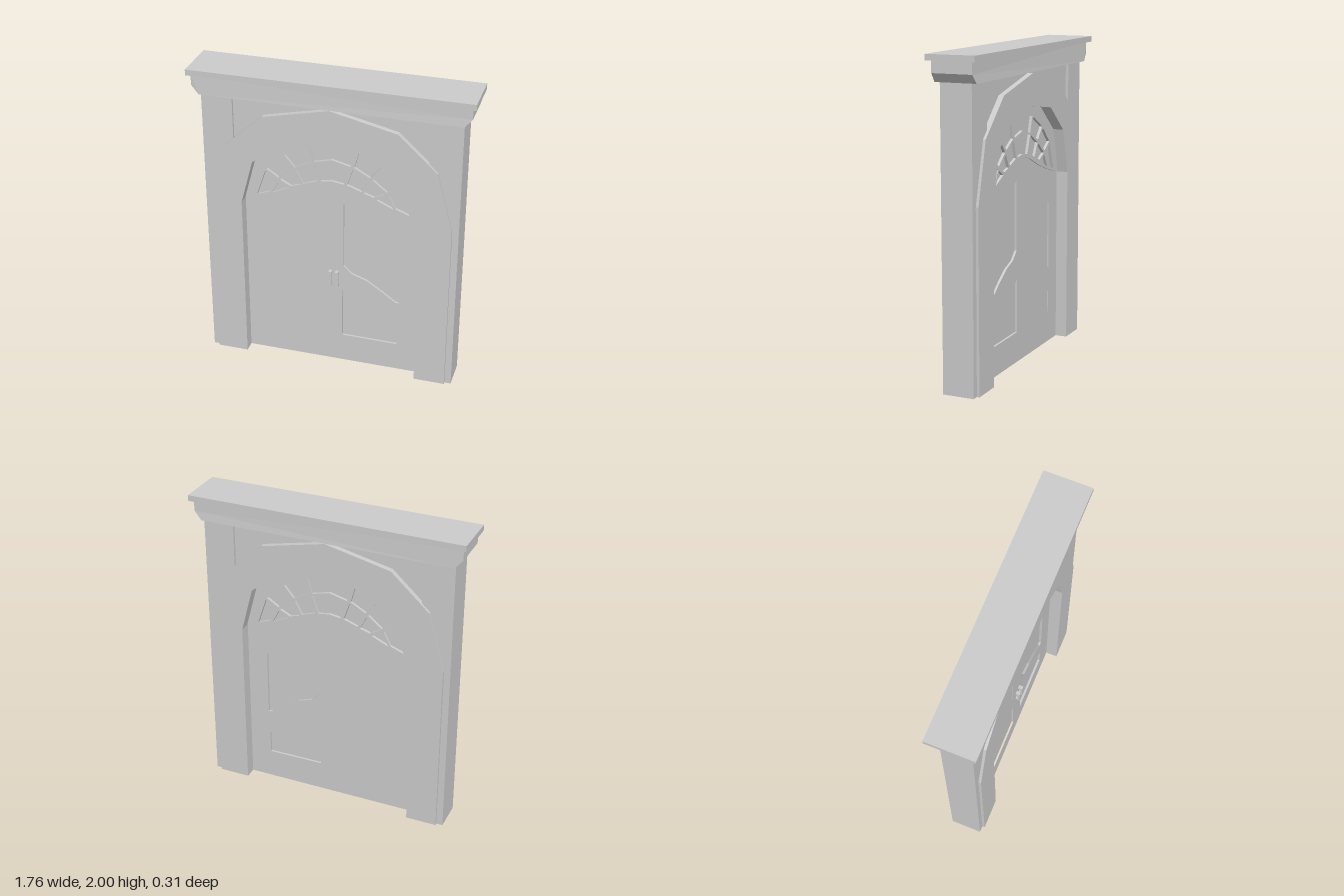
import * as THREE from 'three';

const mat = new THREE.MeshStandardMaterial({ color: 0xcccccc, flatShading: true });
const mirror = (pts) => pts.map(([x, y]) => [-x, y]);
// full symmetric line from a right half that runs from the side to the centre
const bothSides = (half) => [...half, ...mirror(half.slice(0, -1)).reverse()];
const toVecs = (pts) => pts.map(([x, y]) => new THREE.Vector2(x, y));

// prism of an x-y outline, centred on z = 0
function slab(name, outline, halfDepth, holes = []) {
  const shape = new THREE.Shape(toVecs(outline));
  holes.forEach((h) => shape.holes.push(new THREE.Path(toVecs(h))));
  const geo = new THREE.ExtrudeGeometry(shape, { depth: 2 * halfDepth, bevelEnabled: false });
  geo.translate(0, 0, -halfDepth);
  const mesh = new THREE.Mesh(geo, mat);
  mesh.name = name;
  return mesh;
}

function box(name, x0, x1, y0, y1, z0, z1) {
  const mesh = new THREE.Mesh(new THREE.BoxGeometry(x1 - x0, y1 - y0, z1 - z0), mat);
  mesh.position.set((x0 + x1) / 2, (y0 + y1) / 2, (z0 + z1) / 2);
  mesh.name = name;
  return mesh;
}

// pulls the corners of a pane inward to leave room for the glazing bars
function shrink(pts, d) {
  const cx = pts.reduce((s, p) => s + p[0], 0) / pts.length;
  const cy = pts.reduce((s, p) => s + p[1], 0) / pts.length;
  return pts.map(([x, y]) => {
    const l = Math.hypot(cx - x, cy - y);
    return [x + ((cx - x) / l) * d, y + ((cy - y) / l) * d];
  });
}

export function createModel() {
  const model = new THREE.Group();

  // arched surround
  const outerArch = [[0.767, 1.13], [0.667, 1.508], [0.42, 1.733], [0, 1.828]];
  const innerArch = [[0.568, 1.127], [0.49, 1.418], [0.28, 1.587], [0, 1.625]];
  model.add(slab('archSurround', [
    [0.767, 0], ...bothSides(outerArch), [-0.767, 0],
    [-0.568, 0], ...bothSides(innerArch).reverse(), [0.568, 0],
  ], 0.117));

  // side columns and the recessed wall above the arch
  for (const s of [-1, 1]) {
    model.add(box('column', s * 0.71 - 0.098, s * 0.71 + 0.098, 0, 1.84, -0.1, 0.1));
  }
  model.add(slab('spandrelWall', [
    [0.612, 1.84], ...bothSides([[0.612, 1.3], [0.58, 1.45], [0.35, 1.66], [0, 1.72]]), [-0.612, 1.84],
  ], 0.082));

  // cornice with flared ends, slightly deeper at its foot
  const cornice = slab('cornice', [
    [-0.81, 1.838], [0.81, 1.838], [0.857, 1.892], [0.857, 1.965], [-0.857, 1.965], [-0.857, 1.892],
  ], 0.127);
  const p = cornice.geometry.attributes.position;
  for (let i = 0; i < p.count; i++) if (p.getY(i) < 1.85) p.setZ(i, p.getZ(i) * 1.04);
  cornice.geometry.computeVertexNormals();
  model.add(cornice, box('corniceTop', -0.88, 0.88, 1.963, 2, -0.155, 0.155));

  // fan window: rings of nodes from the side to the centre
  const sill = [[0.568, 1.127], [0.5, 1.14], [0.38, 1.175], [0.254, 1.217], [0.11, 1.28], [0.05, 1.294], [0, 1.297]];
  const rings = [
    [[0.497, 1.15], [0.433, 1.345], [0.317, 1.46], [0.16, 1.548], [0, 1.575]],
    [[0.398, 1.18], [0.347, 1.285], [0.243, 1.37], [0.127, 1.435], [0, 1.458]],
    [[0.31, 1.21], [0.268, 1.238], [0.19, 1.267], [0.083, 1.305], [0, 1.312]],
  ];
  const panes = [];
  for (let r = 0; r < 2; r++) {
    const [a, b] = [rings[r], rings[r + 1]];
    for (let k = 0; k < 3; k++) {
      const pane = shrink([a[k], a[k + 1], b[k + 1], b[k]], 0.013);
      panes.push(pane, mirror(pane));
    }
    panes.push(shrink([a[3], a[4], ...mirror([a[3]]), ...mirror([b[3]]), b[4], b[3]], 0.012));
  }
  const fanOutline = [...bothSides(innerArch), ...bothSides(sill).reverse().slice(1, -1)];
  model.add(slab('fanWindowFrame', fanOutline, 0.048, panes));
  model.add(slab('fanWindowGlass', fanOutline, 0.03));

  // door leaves with recessed panels
  const upperPanel = [
    [0.436, 0.935], [0.275, 1.07], [0.2, 1.112], [0.122, 1.133], [0.072, 1.172],
    [0.072, 0.725], [0.127, 0.672], [0.222, 0.64], [0.33, 0.57], [0.413, 0.51], [0.436, 0.508],
  ];
  const lowerPanel = [
    [0.429, 0.344], [0.275, 0.444], [0.2, 0.482], [0.122, 0.5], [0.065, 0.545], [0.065, 0.195], [0.429, 0.192],
  ];
  const leaf = [[0, 0], [0.568, 0], ...sill];
  for (const m of [(q) => q, mirror]) {
    const door = new THREE.Group();
    door.name = 'doorLeaf';
    door.add(slab('doorFrame', m(leaf), 0.04, [m(upperPanel), m(lowerPanel)]));
    door.add(slab('doorPanels', m([[0.05, 0.17], [0.45, 0.17], [0.45, 0.95], [0.27, 1.1], [0.05, 1.2]]), 0.025));
    model.add(door);
  }

  // handles on the front: a bar on two short posts
  for (const x of [-0.01, 0.033]) {
    const handle = new THREE.Group();
    handle.name = 'handle';
    handle.add(box('handleBar', x - 0.011, x + 0.011, 0.577, 0.682, 0.055, 0.068));
    for (const y of [0.577, 0.667]) handle.add(box('handlePost', x - 0.011, x + 0.011, y, y + 0.015, 0.038, 0.056));
    model.add(handle);
  }
  return model;
}
